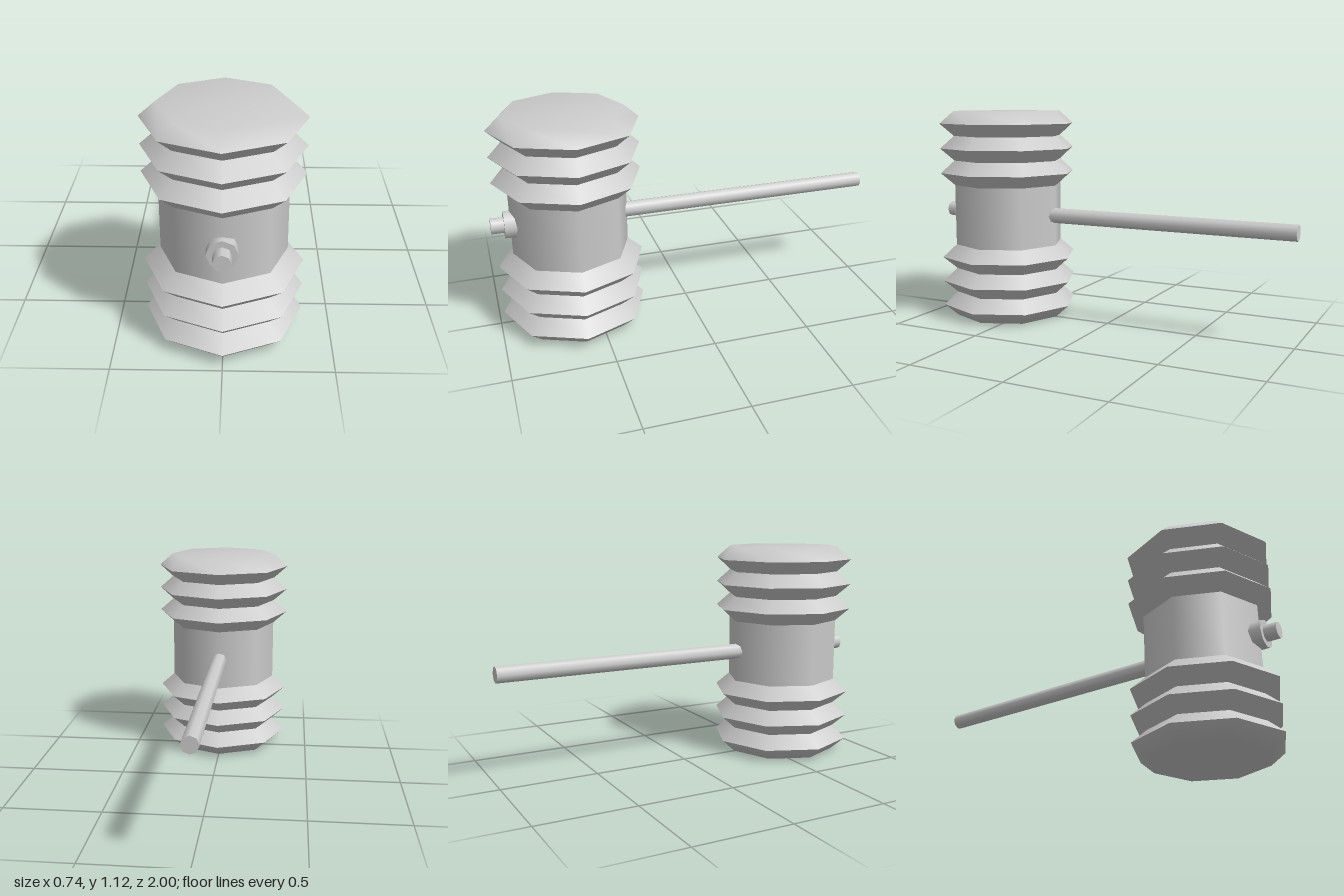
import * as THREE from 'three';

const SIDES = 8, INNER = 0.295, RIM = 0.37;
const HEIGHT = 1.122, STEP = 0.0663, HEAD_Z = 0.61, ROD_Y = 0.562;

export function createModel() {
  const model = new THREE.Group();
  const material = new THREE.MeshStandardMaterial({ color: 0xcccccc });

  const add = (parent, name, geometry) => {
    const mesh = new THREE.Mesh(geometry, material);
    mesh.name = name;
    parent.add(mesh);
    return mesh;
  };
  // Each lathe is one smooth band, so edges between bands stay sharp
  const band = (points, segments = SIDES, start = 0) => new THREE.LatheGeometry(
    points.map(([r, y]) => new THREE.Vector2(r, y)),
    segments, start, segments * Math.PI * 2 / SIDES);

  const head = new THREE.Group();
  head.name = 'hammerHead';
  head.position.z = HEAD_Z;
  model.add(head);

  // Three ridges at each end; the outermost slopes run into the end faces
  for (const base of [0, HEIGHT - 6 * STEP]) {
    for (let i = 0; i < 3; i++) {
      const y = base + i * 2 * STEP;
      const lower = [[INNER, y], [RIM, y + STEP]];
      const upper = [[RIM, y + STEP], [INNER, y + 2 * STEP]];
      if (base === 0 && i === 0) lower.unshift([0, 0]);
      if (base > 0 && i === 2) upper.push([0, HEIGHT]);
      add(head, 'ridgeUnderside', band(lower));
      add(head, 'ridgeTop', band(upper));
    }
  }

  // Octagonal middle, creased at three of its corners
  for (const [first, count] of [[1, 2], [3, 2], [5, 4]]) {
    add(head, 'headMiddle', band(
      [[INNER, 6 * STEP], [INNER, HEIGHT - 6 * STEP]], count, first * Math.PI / 4));
  }

  // Handle rod passing through the head, held by a nut at the front
  const rod = (name, radius, back, front) => {
    const mesh = add(model, name,
      new THREE.CylinderGeometry(radius, radius, front - back, SIDES));
    mesh.rotation.x = Math.PI / 2;
    mesh.position.set(0, ROD_Y, (front + back) / 2);
  };
  rod('handle', 0.041, -1, 1);
  rod('handleNut', 0.071, 0.85, 0.936);

  return model;
}
